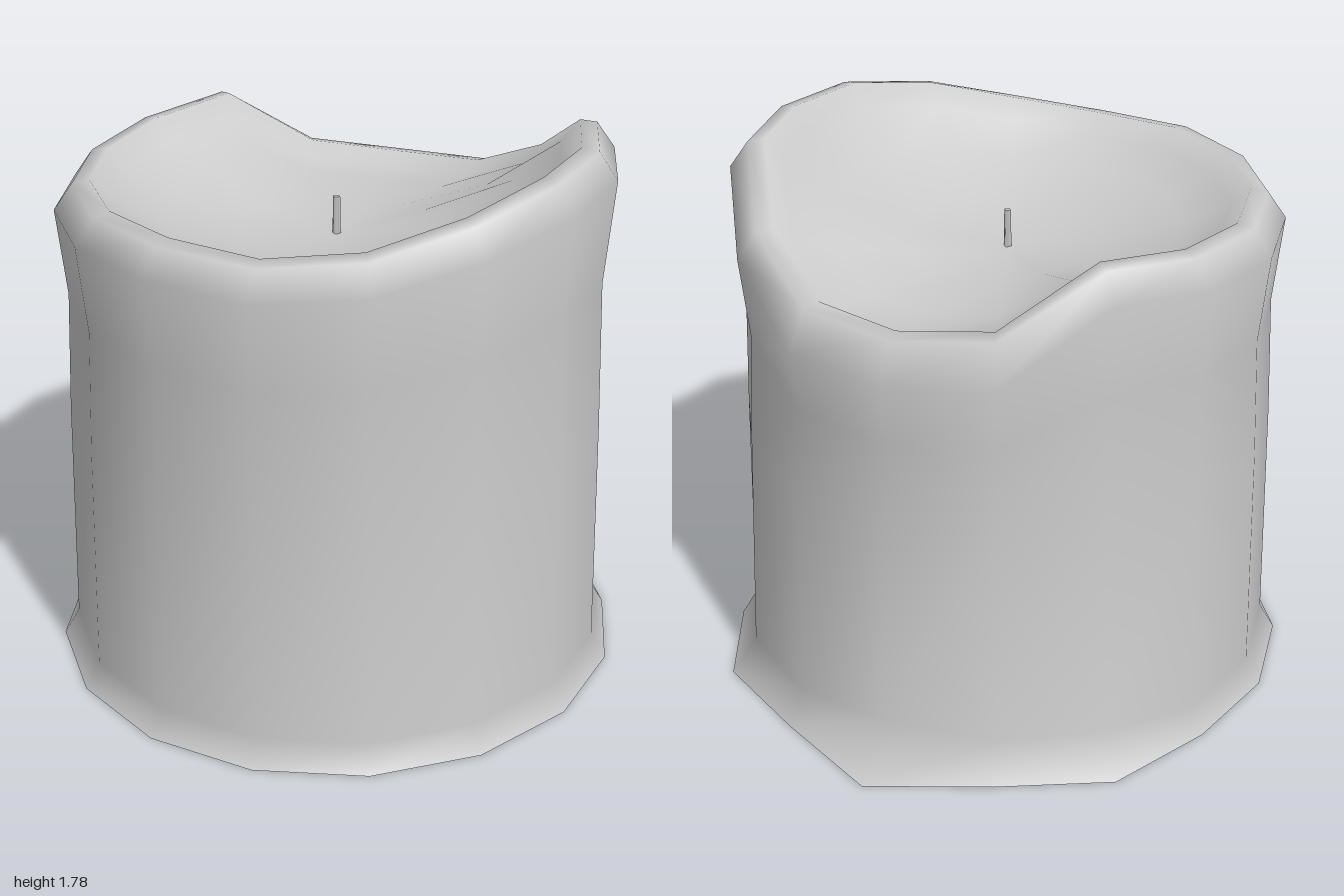
import * as THREE from 'three';

const SIDES = 16;
const CENTRE_Z = 0.065;
const FLOOR = 1.42;

// Crest height of the melted rim, from the back round through +x, front and -x
const CREST = [1.44, 1.455, 1.59, 1.77, 1.78, 1.78, 1.73, 1.66,
  1.63, 1.64, 1.635, 1.63, 1.63, 1.645, 1.67, 1.47];

// Extra spread of the spilled wax at the foot, as [foot, wall above it]
const SPILL = { 0: [0.13, 0.035], 1: [0.022, 0.015], 2: [0.05, 0.015], 14: [0.065, 0.02], 15: [0.033, 0.02] };

// Profile [radius, height] of one column: foot, wall, neck, bulging rim, basin
function column(k) {
  const top = CREST[k];
  const [foot, wall] = SPILL[k] || [0, 0];
  const bulge = top - (top < 1.5 ? 0.14 : 0.095);
  const neck = 1.1 + 0.64 * (bulge - 1.3);
  const basin = (t) => FLOOR + t * (top - 0.04 - FLOOR);
  return [
    [0.935 + foot, 0],
    [0.885 + wall, wall ? 0.085 + wall * 2.1 : 0.085],
    [0.87 + wall * 0.3, 0.85],
    [0.855, neck],
    [0.885, bulge],
    [0.825, top - 0.01],
    [0.77, top],
    [0.71, basin(0.9)],
    [0.56, basin(0.5)],
    [0.32, basin(0.15)],
  ];
}

function candleGeometry() {
  const columns = CREST.map((_, k) => column(k));
  const rings = columns[0].length;
  const pos = [], index = [];
  for (let i = 0; i < rings; i++) {
    for (let k = 0; k < SIDES; k++) {
      const a = (k / SIDES) * Math.PI * 2 - 0.045;
      const [r, y] = columns[k][i];
      pos.push(r * Math.sin(a), y, CENTRE_Z - r * Math.cos(a));
    }
  }
  pos.push(0, FLOOR, CENTRE_Z);
  const centre = rings * SIDES;
  for (let i = 0; i < rings; i++) {
    for (let k = 0; k < SIDES; k++) {
      const a = i * SIDES + k, b = i * SIDES + (k + 1) % SIDES;
      if (i === rings - 1) index.push(a, centre, b);
      else index.push(a, a + SIDES, b, b, a + SIDES, b + SIDES);
    }
  }
  const geo = new THREE.BufferGeometry();
  geo.setAttribute('position', new THREE.Float32BufferAttribute(pos, 3));
  geo.setIndex(index);
  geo.computeVertexNormals();
  return geo;
}

export function createModel() {
  const group = new THREE.Group();
  group.name = 'candle';

  // Hollow wax body, open underneath
  const wax = new THREE.MeshStandardMaterial({ color: 0xcccccc, side: THREE.DoubleSide });
  const body = new THREE.Mesh(candleGeometry(), wax);
  body.name = 'waxBody';
  group.add(body);

  // Thin square wick standing in the basin
  const wick = new THREE.Mesh(
    new THREE.CylinderGeometry(0.012, 0.014, 0.13, 4),
    new THREE.MeshStandardMaterial({ color: 0xcccccc }));
  wick.name = 'wick';
  wick.position.set(0, FLOOR + 0.06, CENTRE_Z);
  group.add(wick);

  return group;
}
